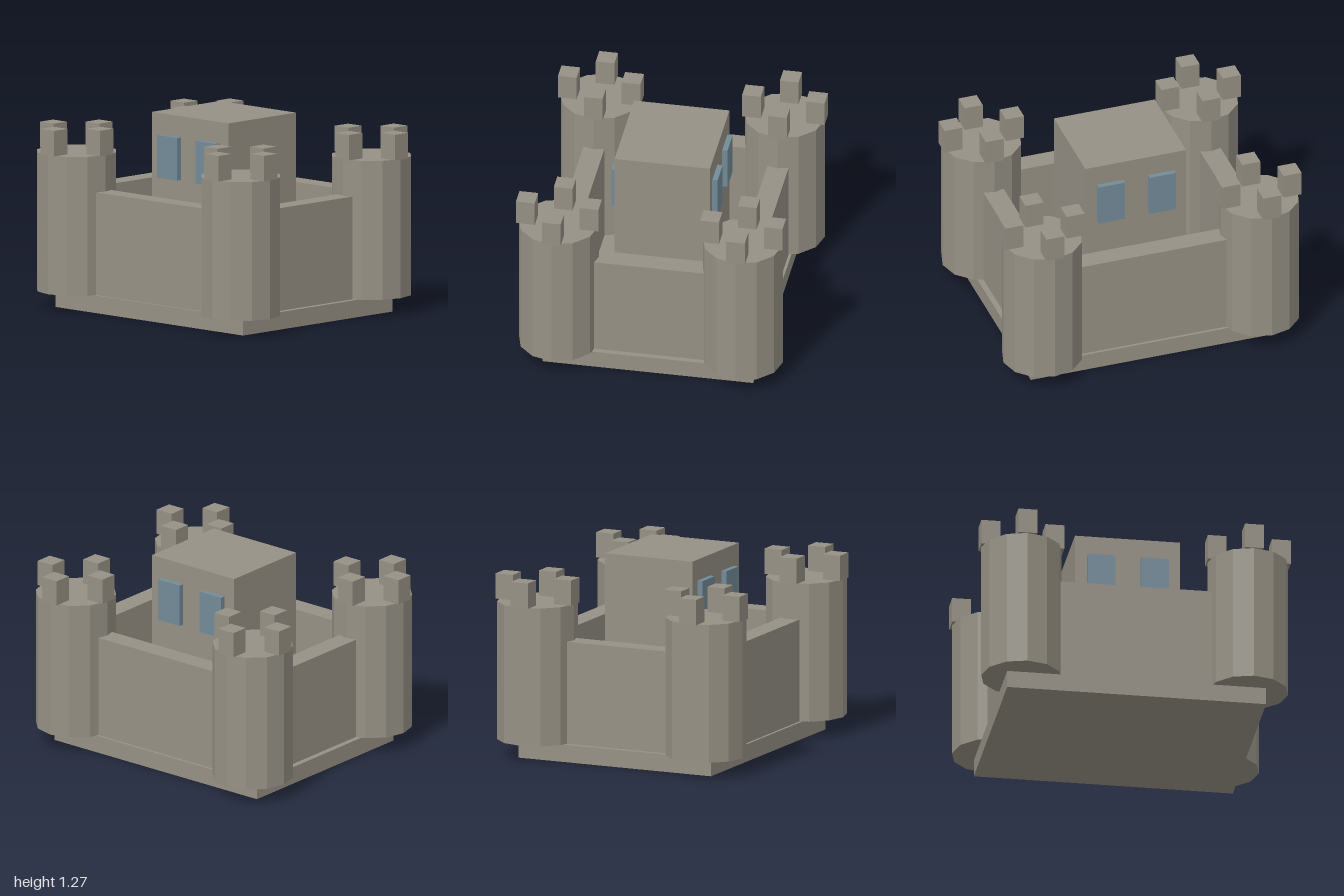
import * as THREE from 'three';

const stone = new THREE.MeshStandardMaterial({ color: 0x969185, flatShading: true });
stone.name = 'stone';
const glass = new THREE.MeshStandardMaterial({ color: 0x738b99, flatShading: true });
glass.name = 'window blue';

const BASE = 0.113, WALL_TOP = 0.777, TOWER_TOP = 1.012;
const TX = 0.732, TZ = 0.598; // corner tower centres

// Box given its centre in plan and its bottom and top heights
function block(name, material, w, d, y0, y1, x, z) {
  const mesh = new THREE.Mesh(new THREE.BoxGeometry(w, y1 - y0, d), material);
  mesh.position.set(x, (y0 + y1) / 2, z);
  mesh.name = name;
  return mesh;
}

// Twelve-sided tower with four battlement blocks
function tower(x, z) {
  const g = new THREE.Group();
  g.name = 'cornerTower';
  g.position.set(x, 0, z);
  const shaft = new THREE.Mesh(new THREE.CylinderGeometry(0.26, 0.26, TOWER_TOP - BASE, 12), stone);
  shaft.position.y = (BASE + TOWER_TOP) / 2;
  shaft.name = 'towerShaft';
  g.add(shaft);
  for (const [dx, dz] of [[1, 0], [-1, 0], [0, 1], [0, -1]]) {
    g.add(block('battlement', stone, 0.122, 0.122, TOWER_TOP, 1.177, dx * 0.207, dz * 0.207));
  }
  return g;
}

export function createModel() {
  const castle = new THREE.Group();
  castle.name = 'castle';

  castle.add(block('base', stone, 1.674, 1.368, 0, BASE, 0, 0));
  castle.add(block('keep', stone, 0.68, 0.62, BASE, 1.274, 0, 0));

  for (const s of [-1, 1]) {
    // Walls between the towers
    castle.add(block('longWall', stone, 2 * TX, 0.137, BASE, WALL_TOP, 0, s * TZ));
    castle.add(block('sideWall', stone, 0.137, 2 * TZ, BASE, WALL_TOP, s * TX, 0));
    for (const t of [-1, 1]) {
      castle.add(tower(s * TX, t * TZ));
      // Windows standing proud of the keep, front and back
      castle.add(block('window', glass, 0.178, 0.037, 0.861, 1.137, s * 0.172, t * 0.3265));
    }
  }
  return castle;
}
